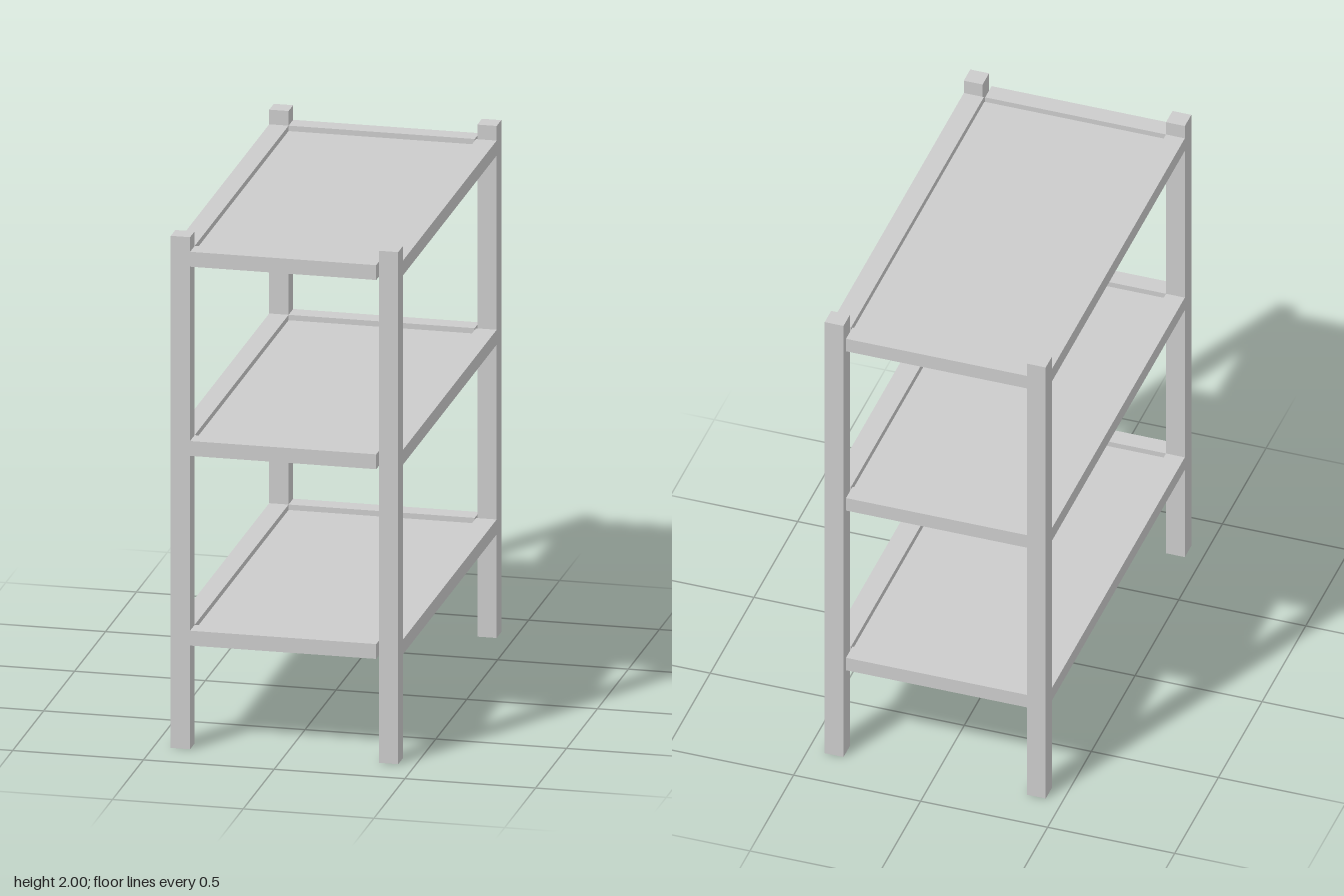
import * as THREE from 'three';

const material = new THREE.MeshStandardMaterial({ color: 0xcccccc, flatShading: true });

// Box given by its lower and upper limits on each axis
function box(name, [x0, x1], [y0, y1], [z0, z1]) {
  const mesh = new THREE.Mesh(new THREE.BoxGeometry(x1 - x0, y1 - y0, z1 - z0), material);
  mesh.position.set((x0 + x1) / 2, (y0 + y1) / 2, (z0 + z1) / 2);
  mesh.name = name;
  return mesh;
}

export function createModel() {
  const model = new THREE.Group();
  model.name = 'shelvingRack';

  const X = 0.435, Z = 0.833, T = 0.074; // half width, half depth, post thickness
  const xi = X - T, zi = Z - T;
  const endX = 0.351; // end rails stop just short of the left posts

  // Corner posts
  for (const sx of [-1, 1]) {
    for (const sz of [-1, 1]) {
      const post = box('post', [-T / 2, T / 2], [0, 2], [-T / 2, T / 2]);
      post.position.x = sx * (X - T / 2);
      post.position.z = sz * (Z - T / 2);
      model.add(post);
    }
  }

  // Three shelves: a frame of rails around a recessed panel
  for (const y of [0.405, 1.146, 1.885]) {
    const shelf = new THREE.Group();
    shelf.name = 'shelf';
    const h = [y, y + 0.058];
    shelf.add(
      box('rightSideRail', [-X, -xi], h, [-zi, zi]),
      box('leftSideRail', [xi - 0.005, X], h, [-zi, zi]),
      box('frontRail', [-xi, endX], h, [zi, Z]),
      box('backRail', [-xi, endX], h, [-Z, -zi]),
      box('panel', [-xi, endX + 0.003], [y + 0.021, y + 0.037], [-zi, zi])
    );
    model.add(shelf);
  }
  return model;
}
